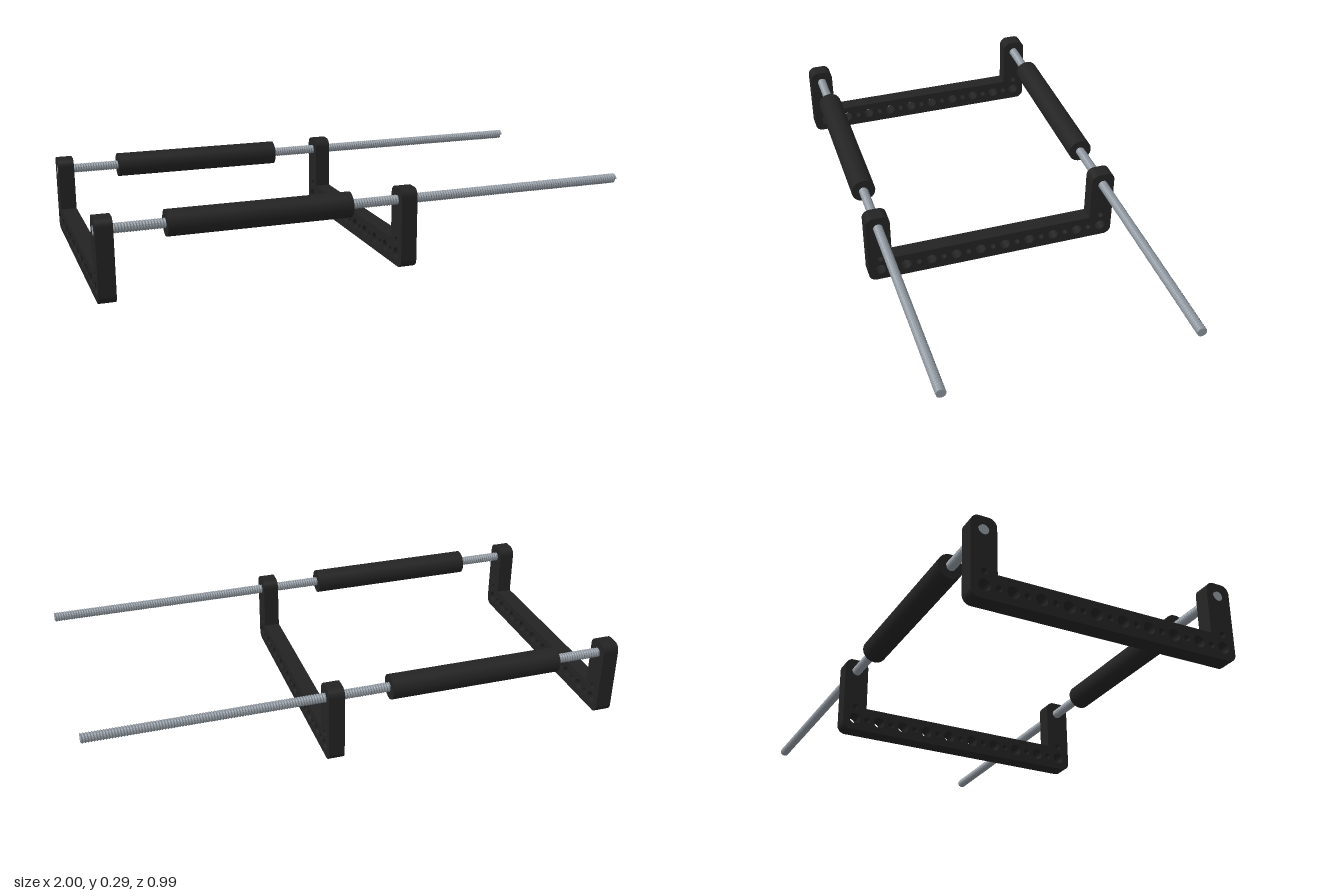
import * as THREE from 'three';

const ROD_Y = 0.248, ARM_Z = 0.45;

// U-shaped bracket outline with a row of alternating large and small holes
function bracketGeometry() {
  const w = 0.497, inner = 0.404, top = 0.295, base = 0.094, r = 0.03;
  const s = new THREE.Shape();
  s.moveTo(-w + r, 0);
  s.lineTo(w - r, 0);
  s.absarc(w - r, r, r, -Math.PI / 2, 0);
  s.absarc(w - r, top - r, r, 0, Math.PI / 2);
  s.absarc(inner + r, top - r, r, Math.PI / 2, Math.PI);
  s.lineTo(inner, base);
  s.lineTo(-inner, base);
  s.absarc(-inner - r, top - r, r, 0, Math.PI / 2);
  s.absarc(-w + r, top - r, r, Math.PI / 2, Math.PI);
  s.absarc(-w + r, r, r, Math.PI, Math.PI * 1.5);

  const hole = (x, y, radius) => {
    const h = new THREE.Path();
    h.absarc(x, y, radius, 0, Math.PI * 2, true);
    s.holes.push(h);
  };
  for (let i = 0; i < 19; i++) hole(-ARM_Z + i * 0.05, 0.047, i % 2 ? 0.0115 : 0.0215);
  for (const side of [-1, 1]) {
    hole(side * ARM_Z, 0.097, 0.0115);
    hole(side * ARM_Z, ROD_Y, 0.019);
  }
  const g = new THREE.ExtrudeGeometry(s, { depth: 0.06, bevelEnabled: false, curveSegments: 10 });
  return g.rotateY(Math.PI / 2);
}

// Rod surface: alternate rings pulled in for the groove, sheared into a helix
function threadGeometry(turns, sides) {
  const pitch = 2 / turns;
  const g = new THREE.CylinderGeometry(1, 1, 2, sides, turns * 2, true);
  const p = g.attributes.position;
  for (let i = 0; i < p.count; i++) {
    const row = Math.floor(i / (sides + 1));
    const turn = (i % (sides + 1)) / sides;
    const radius = row % 2 ? 0.0185 : 0.0155;
    const y = THREE.MathUtils.clamp(p.getY(i) + pitch * (turn - 0.5), -1, 1);
    p.setXYZ(i, p.getX(i) * radius, y, p.getZ(i) * radius);
  }
  const flat = g.toNonIndexed();
  flat.computeVertexNormals();
  return flat.rotateZ(-Math.PI / 2);
}

export function createModel() {
  const black = new THREE.MeshStandardMaterial({ color: 0x232323 });
  black.name = 'black plastic';
  const steel = new THREE.MeshStandardMaterial({ color: 0x8f979f });
  steel.name = 'steel';

  const model = new THREE.Group();
  model.name = 'rodFrame';
  const add = (parent, name, geometry, material, x, y, z) => {
    const m = new THREE.Mesh(geometry, material);
    m.name = name;
    m.position.set(x, y, z);
    parent.add(m);
    return m;
  };

  // Two brackets
  const bracket = bracketGeometry();
  add(model, 'endBracket', bracket, black, -1, 0, 0);
  add(model, 'middleBracket', bracket, black, 0.082, 0, 0);

  // Two threaded rods, each with a grip sleeve
  const thread = threadGeometry(200, 16);
  const cap = new THREE.CircleGeometry(0.0175, 16);
  const sleeve = new THREE.CylinderGeometry(0.0465, 0.0465, 0.66, 32).rotateZ(Math.PI / 2);
  for (const [side, label] of [[1, 'front'], [-1, 'back']]) {
    const rod = new THREE.Group();
    rod.name = label + 'Rod';
    rod.position.set(0, ROD_Y, side * ARM_Z);
    add(rod, 'thread', thread, steel, 0, 0, 0);
    for (const end of [-1, 1])
      add(rod, 'rodEnd', cap, steel, end, 0, 0).rotation.y = end * Math.PI / 2;
    add(rod, 'gripSleeve', sleeve, black, -0.43, 0, 0);
    model.add(rod);
  }
  return model;
}
